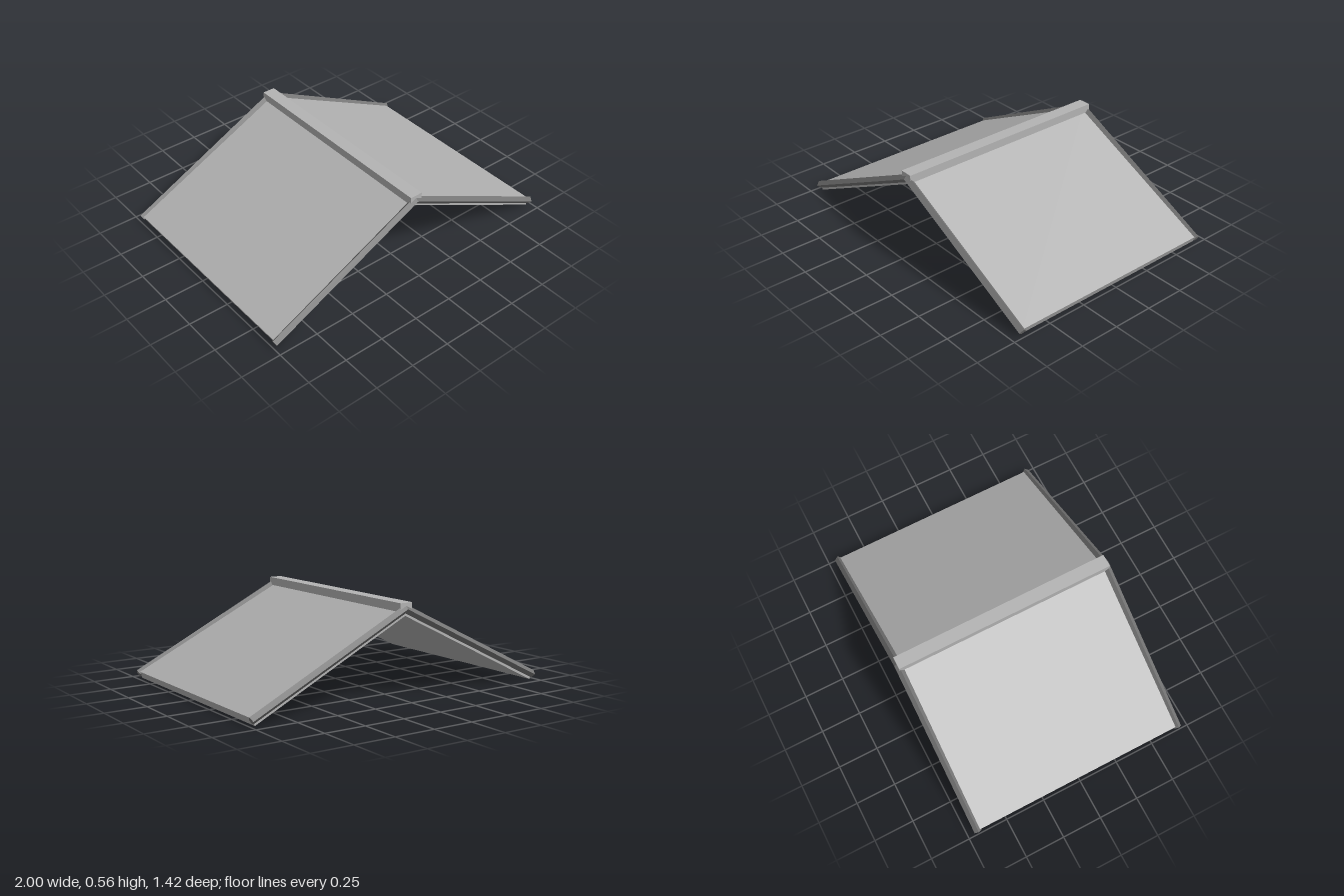
import * as THREE from 'three';

const roofGrey = new THREE.MeshStandardMaterial({ color: 0xb3b3b3 });
roofGrey.name = 'roof grey';
const trimGrey = new THREE.MeshStandardMaterial({ color: 0x757575 });
trimGrey.name = 'trim grey';

function part(name, geometry, material) {
  const mesh = new THREE.Mesh(geometry, material);
  mesh.name = name;
  return mesh;
}

// Chevron slab forming both roof slopes
function roofSlopes() {
  const shape = new THREE.Shape([
    [-0.967, 0], [0, 0.48], [0.967, 0], [0.986, 0.042], [0, 0.522], [-0.986, 0.042],
  ].map(([x, y]) => new THREE.Vector2(x, y)));
  const depth = 1.366;
  return new THREE.ExtrudeGeometry(shape, { depth, bevelEnabled: false }).translate(0, 0, -depth / 2);
}

// Diamond-section bar running eave - ridge - eave, mitred at the ridge
function gableTrim(z) {
  const r = 0.0235;
  const stations = [
    { x: -0.99, y: 0.03, up: [-0.0103, 0.0211] },
    { x: 0, y: 0.52, up: [0, 0.0262] },
    { x: 0.99, y: 0.03, up: [0.0103, 0.0211] },
  ];
  const rings = stations.map(({ x, y, up: [ux, uy] }) => [
    [x + ux, y + uy, z], [x, y, z + r], [x - ux, y - uy, z], [x, y, z - r],
  ]);
  const positions = [];
  const quad = (a, b, c, d) => positions.push(...a, ...b, ...c, ...a, ...c, ...d);
  for (let i = 0; i < 2; i++) {
    for (let k = 0; k < 4; k++) {
      const n = (k + 1) % 4;
      quad(rings[i][k], rings[i][n], rings[i + 1][n], rings[i + 1][k]);
    }
  }
  // End caps
  const [first, , last] = rings;
  quad(first[3], first[2], first[1], first[0]);
  quad(...last);
  const geometry = new THREE.BufferGeometry();
  geometry.setAttribute('position', new THREE.Float32BufferAttribute(positions, 3));
  geometry.computeVertexNormals();
  return geometry;
}

export function createModel() {
  const roof = new THREE.Group();
  roof.name = 'gableRoof';
  roof.add(part('roofSlopes', roofSlopes(), roofGrey));

  // Flat cap along the ridge
  const cap = part('ridgeCap', new THREE.BoxGeometry(0.08, 0.05, 1.386), roofGrey);
  cap.position.y = 0.53;
  roof.add(cap);

  roof.add(part('frontTrim', gableTrim(0.685), trimGrey));
  roof.add(part('backTrim', gableTrim(-0.685), trimGrey));
  return roof;
}
